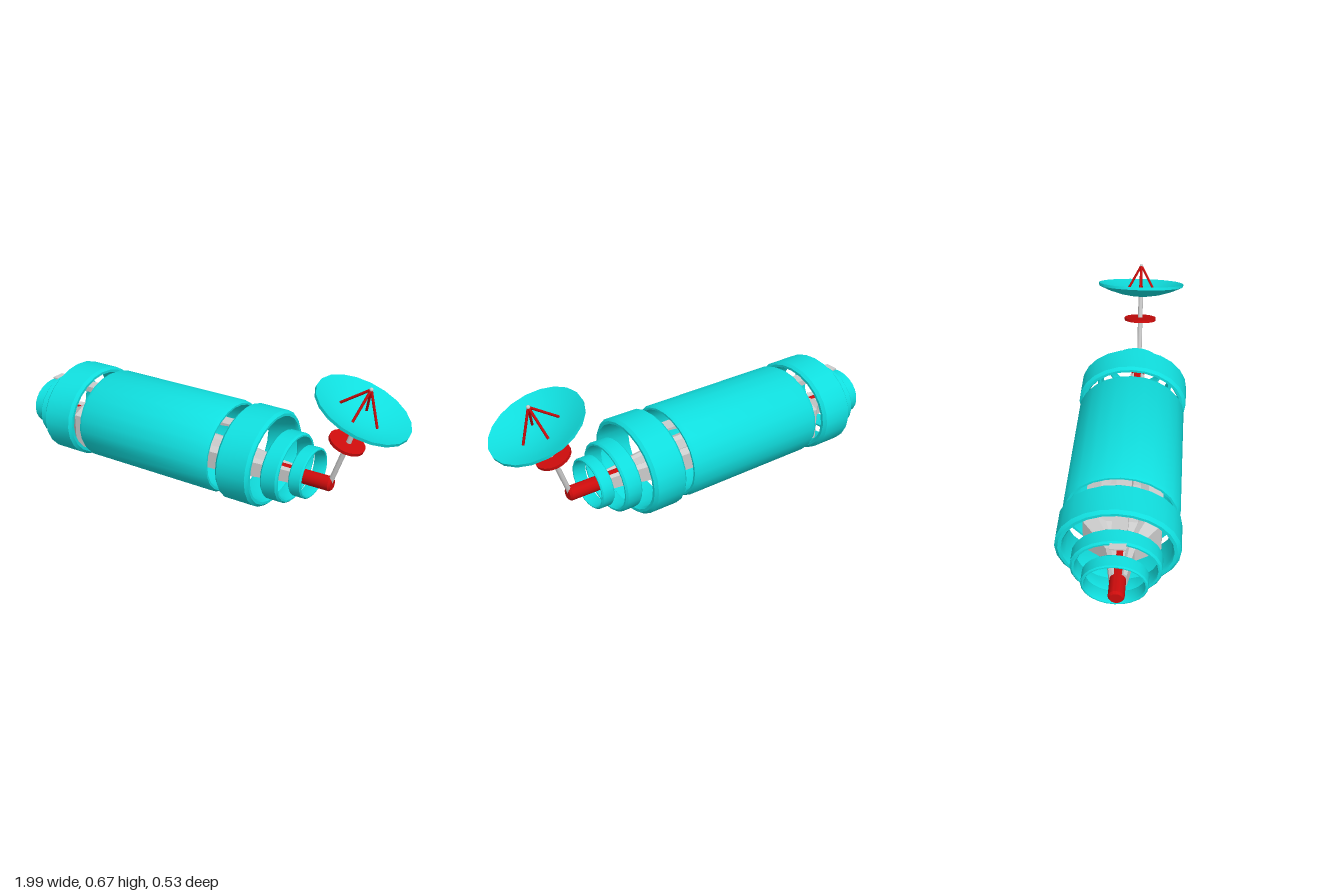
import * as THREE from 'three';
import { toCreasedNormals } from 'three/addons/utils/BufferGeometryUtils.js';

const cyan = new THREE.MeshStandardMaterial({ color: 0x10dede });
const red = new THREE.MeshStandardMaterial({ color: 0xcc0c0c });
const grey = new THREE.MeshStandardMaterial({ color: 0xcccccc });
const greyFlat = new THREE.MeshStandardMaterial({ color: 0xcccccc, flatShading: true });
const AXIS_Z = 0.01;

function add(parent, name, geometry, material) {
  const mesh = new THREE.Mesh(geometry, material);
  mesh.name = name;
  parent.add(mesh);
  return mesh;
}

// Hollow elliptical band along x with bevelled edges
function band(x0, x1, cy, ry, rz, wall, bevel) {
  const t = wall / ry, b = bevel, d = t * 0.4;
  const profile = [
    [1 - d, x0], [1, x0 + b], [1, x1 - b], [1 - d, x1],
    [1 - t + d / 2, x1], [1 - t, x1 - b], [1 - t, x0 + b], [1 - t + d / 2, x0], [1 - d, x0],
  ].map(([r, x]) => new THREE.Vector2(r, x));
  const g = new THREE.LatheGeometry(profile, 24);
  g.rotateZ(-Math.PI / 2);
  g.scale(1, ry, rz);
  g.translate(0, cy, 0);
  return toCreasedNormals(g, 0.6);
}

// Straight round bar between two points
function bar(parent, name, a, b, radius, material, sides = 10) {
  const from = new THREE.Vector3(...a), dir = new THREE.Vector3(...b).sub(from);
  const m = add(parent, name, new THREE.CylinderGeometry(radius, radius, dir.length(), sides), material);
  m.position.copy(from).addScaledVector(dir, 0.5);
  m.quaternion.setFromUnitVectors(new THREE.Vector3(0, 1, 0), dir.normalize());
  return m;
}

// Loft of one profile through sections [x, half width, bottom, top]
function loft(sections, profile) {
  const rings = sections.map(([x, w, y0, y1]) =>
    profile.map(([z, y]) => [x, y0 + y * (y1 - y0), AXIS_Z + z * w]));
  const pos = [], n = profile.length;
  const tri = (...p) => p.forEach((v) => pos.push(...v));
  const mid = ([x, , y0, y1]) => [x, (y0 + y1) / 2, AXIS_Z];
  const last = rings.length - 1;
  for (let i = 0; i < n; i++) {
    const j = (i + 1) % n;
    for (let s = 0; s < last; s++) {
      const a = rings[s], b = rings[s + 1];
      tri(a[i], b[i], b[j]);
      tri(a[i], b[j], a[j]);
    }
    tri(mid(sections[0]), rings[0][i], rings[0][j]);
    tri(mid(sections[last]), rings[last][j], rings[last][i]);
  }
  const g = new THREE.BufferGeometry();
  g.setAttribute('position', new THREE.Float32BufferAttribute(pos, 3));
  g.computeVertexNormals();
  return g;
}

export function createModel() {
  const root = new THREE.Group();
  root.name = 'station';

  // Outer shell and graded rings at both ends
  add(root, 'mainShell', band(-0.565, 0.16, 0.228, 0.214, 0.255, 0.022, 0.02), cyan);
  const rings = [
    ['rearLargeRing', -0.78, -0.61, 0.225, 0.22, 0.264, 0.03],
    ['rearMiddleRing', -0.87, -0.79, 0.207, 0.158, 0.19, 0.018],
    ['rearSmallRing', -0.955, -0.89, 0.206, 0.114, 0.137, 0.012],
    ['frontLargeRing', 0.21, 0.38, 0.225, 0.22, 0.264, 0.03],
    ['frontMiddleRing', 0.4, 0.485, 0.207, 0.158, 0.19, 0.018],
    ['frontSmallRing', 0.513, 0.575, 0.206, 0.114, 0.137, 0.012],
  ];
  for (const [name, x0, x1, cy, ry, rz, wall] of rings) {
    add(root, name, band(x0, x1, cy, ry, rz, wall, wall * 0.45), cyan);
  }

  // Inner hull, widest near the rear
  const section = [[-1, 0], [1, 0], [1, 0.85], [0.62, 1], [0.4, 0.88], [-0.4, 0.88], [-0.62, 1], [-1, 0.85]];
  add(root, 'innerHull', loft([
    [-0.9, 0.036, 0.15, 0.22], [-0.76, 0.06, 0.145, 0.225], [-0.65, 0.168, 0.097, 0.285],
    [-0.42, 0.168, 0.097, 0.285], [-0.2, 0.102, 0.135, 0.242], [0.16, 0.085, 0.14, 0.238],
    [0.3, 0.065, 0.145, 0.23], [0.4, 0.045, 0.15, 0.222], [0.49, 0.035, 0.152, 0.218],
  ], section), greyFlat);

  // Dorsal fin on a pylon
  const fin = new THREE.Shape([
    [-0.9, 0.352], [-0.7, 0.33], [-0.5, 0.33], [-0.42, 0.24], [-0.12, 0.2],
    [0, 0.33], [0.19, 0.352], [0.19, 0.358], [-0.9, 0.358],
  ].map(([x, y]) => new THREE.Vector2(x, y)));
  const finGeo = new THREE.ExtrudeGeometry(fin, { depth: 0.066, bevelEnabled: false });
  finGeo.translate(0, 0, AXIS_Z - 0.033);
  add(root, 'dorsalFin', finGeo, greyFlat);

  // Central spine with softened ends
  const spine = [[0, -1], [0.026, -1], [0.034, -0.99], [0.034, 0.66], [0.026, 0.67], [0, 0.67]]
    .map(([r, x]) => new THREE.Vector2(r, x));
  const spineGeo = new THREE.LatheGeometry(spine, 16);
  spineGeo.rotateZ(-Math.PI / 2);
  spineGeo.translate(0, 0.184, AXIS_Z);
  add(root, 'spine', toCreasedNormals(spineGeo, 0.6), red);

  // Leaning mast and its collar disc
  bar(root, 'mast', [0.653, 0.175, AXIS_Z], [0.772, 0.525, AXIS_Z], 0.012, grey, 12);
  const collar = add(root, 'collarDisc', toCreasedNormals(new THREE.CylinderGeometry(0.082, 0.082, 0.014, 20), 0.6), red);
  collar.position.set(0.724, 0.403, AXIS_Z);
  collar.rotation.z = -0.36;

  // Tilted dish with a four-legged feed
  const dish = new THREE.Group();
  dish.name = 'dish';
  dish.position.set(0.79, 0.58, AXIS_Z);
  dish.rotation.z = -0.42;
  root.add(dish);
  const R = 0.22, depth = 0.055;
  const bowl = (r) => depth * ((r / R) ** 2 - 1);
  const steps = [0, 0.25, 0.5, 0.75, 1].map((k) => k * R);
  const dishProfile = [
    ...steps.map((r) => new THREE.Vector2(r, bowl(r) - 0.014)),
    ...steps.reverse().map((r) => new THREE.Vector2(r, bowl(r))),
  ];
  add(dish, 'dishBowl', toCreasedNormals(new THREE.LatheGeometry(dishProfile, 20), 0.6), cyan);

  const apex = [-0.014, 0.092, 0];
  const foot = bowl(0.1);
  for (const [x, z] of [[0.09, 0], [-0.1, 0], [0, 0.072], [0, -0.072]]) {
    bar(dish, 'feedLeg', [x, foot, z], apex, 0.006, red, 8);
  }
  const tip = add(dish, 'feedTip', new THREE.SphereGeometry(0.009, 10, 8), grey);
  tip.position.set(...apex);

  return root;
}
